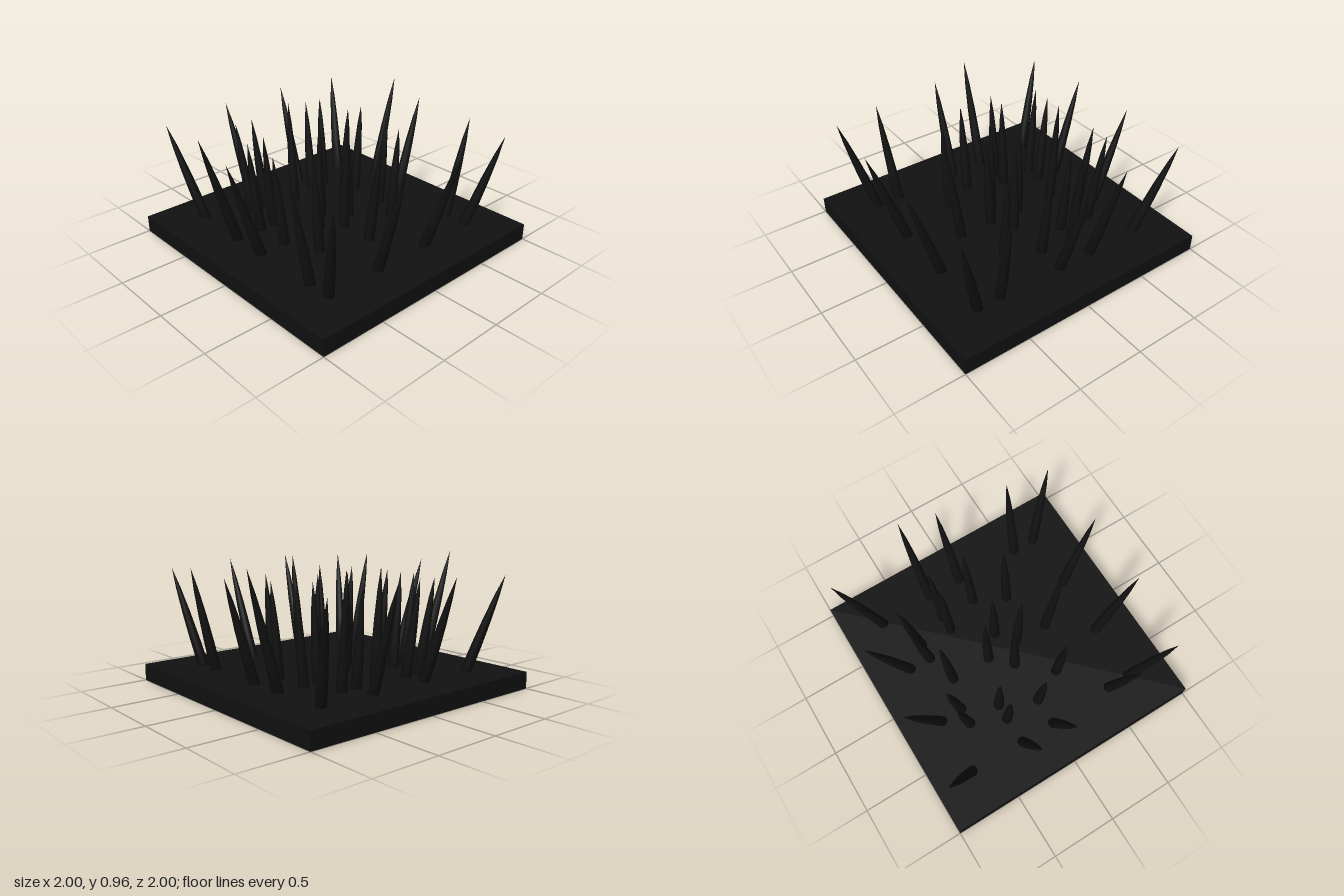
import * as THREE from 'three';

const PLATE_TOP = 0.125;

// Spikes as [base x, base z, tip x, tip z, tip height]; x > 0 entries are mirrored
const SPIKES = [
  // back rows
  [0.68, -0.70, 0.81, -0.92, 0.84],
  [0.24, -0.70, 0.27, -0.94, 0.87],
  [0.365, -0.53, 0.41, -0.62, 0.83],
  [0.235, -0.53, 0.265, -0.62, 0.83],
  [0, -0.46, 0, -0.51, 0.92],
  // middle rows
  [0.69, -0.27, 0.935, -0.30, 0.96],
  [0.48, -0.275, 0.55, -0.29, 0.82],
  [0.36, -0.275, 0.41, -0.29, 0.83],
  [0, -0.145, 0, -0.16, 0.87],
  [0.69, 0, 0.92, -0.015, 0.87],
  [0.48, 0, 0.55, -0.01, 0.82],
  [0.147, 0, 0.14, -0.01, 0.83],
  // front rows
  [0, 0.105, 0, 0.14, 0.88],
  [0.36, 0.24, 0.41, 0.245, 0.83],
  [0, 0.37, 0, 0.47, 0.93],
  [0.68, 0.51, 0.845, 0.54, 0.88],
  [0.68, 0.69, 0.81, 0.88, 0.85],
  [0.235, 0.69, 0.27, 0.93, 0.88],
];

// Unit-height tapered spike with a slightly bulging outline
function spikeGeometry() {
  const outline = [[0, 0], [0.04, 0], [0.036, 0.3], [0.029, 0.55], [0.017, 0.8], [0, 1]];
  return new THREE.LatheGeometry(outline.map(([r, y]) => new THREE.Vector2(r, y)), 10);
}

export function createModel() {
  const model = new THREE.Group();
  model.name = 'spikedPlate';
  const black = new THREE.MeshStandardMaterial({ color: 0x111111 });
  const up = new THREE.Vector3(0, 1, 0);

  // Square base plate
  const plate = new THREE.Mesh(new THREE.BoxGeometry(2, PLATE_TOP, 2), black);
  plate.name = 'basePlate';
  plate.position.y = PLATE_TOP / 2;
  model.add(plate);

  // Spikes, each tilted from its base towards its tip and sunk a little into the plate
  const spikes = new THREE.Group();
  spikes.name = 'spikes';
  const geometry = spikeGeometry();
  for (const [bx, bz, tx, tz, height] of SPIKES) {
    for (const side of bx > 0 ? [1, -1] : [1]) {
      const base = new THREE.Vector3(side * bx, PLATE_TOP, bz);
      const tip = new THREE.Vector3(side * tx, height, tz);
      const axis = tip.clone().sub(base).normalize();
      base.addScaledVector(axis, -0.02);
      const spike = new THREE.Mesh(geometry, black);
      spike.name = 'spike';
      spike.position.copy(base);
      spike.scale.y = tip.distanceTo(base);
      spike.quaternion.setFromUnitVectors(up, axis);
      spikes.add(spike);
    }
  }
  model.add(spikes);
  return model;
}
